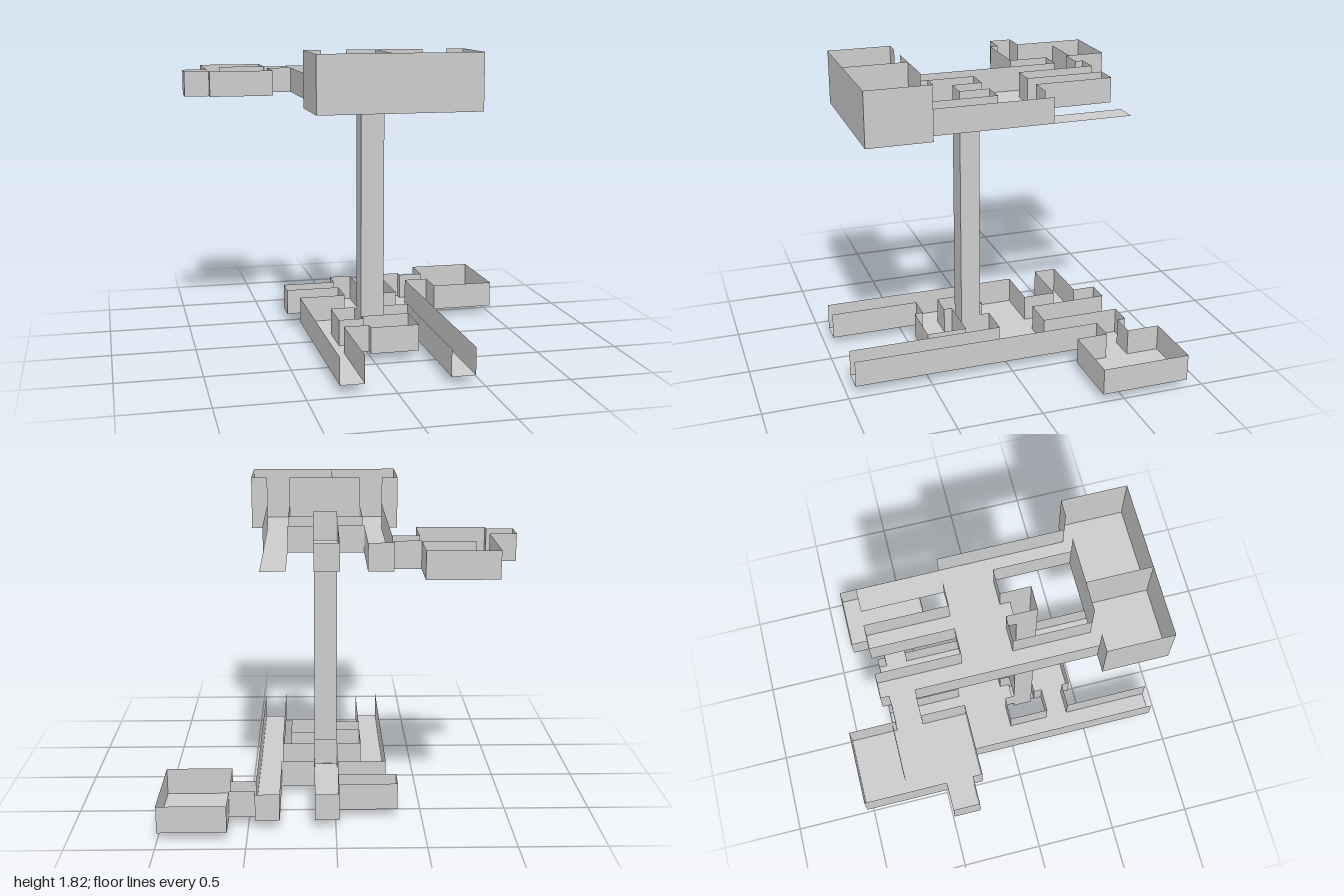
import * as THREE from 'three';
import { mergeGeometries } from 'three/addons/utils/BufferGeometryUtils.js';

const material = new THREE.MeshStandardMaterial({ color: 0xcccccc, flatShading: true, side: THREE.DoubleSide });

// Horizontal sheet at height y
function sheet(x0, x1, z0, z1, y) {
  return new THREE.PlaneGeometry(x1 - x0, z1 - z0).rotateX(-Math.PI / 2)
    .translate((x0 + x1) / 2, y, (z0 + z1) / 2);
}

// Upright sheet between two ground points
function wall(xa, za, xb, zb, y0, y1) {
  return new THREE.PlaneGeometry(Math.hypot(xb - xa, zb - za), y1 - y0)
    .rotateY(-Math.atan2(zb - za, xb - xa))
    .translate((xa + xb) / 2, (y0 + y1) / 2, (za + zb) / 2);
}

function addMesh(group, name, geometries) {
  const mesh = new THREE.Mesh(mergeGeometries(geometries), material);
  mesh.name = name;
  group.add(mesh);
}

// Floor plan made of [x0, x1, z0, z1] areas: floors everywhere, walls round the outline.
// Outline pieces whose middle lies in an opening box stay without a wall.
function storey(name, areas, openings, y0, y1) {
  const sorted = (i) => [...new Set(areas.flatMap((a) => [a[i], a[i + 1]]))].sort((a, b) => a - b);
  const xs = sorted(0), zs = sorted(2);
  const inBox = (x, z, e) => ([x0, x1, z0, z1]) => x > x0 - e && x < x1 + e && z > z0 - e && z < z1 + e;
  const inside = (i, j) => {
    if (i < 0 || j < 0 || i >= xs.length - 1 || j >= zs.length - 1) return false;
    return areas.some(inBox((xs[i] + xs[i + 1]) / 2, (zs[j] + zs[j + 1]) / 2, 0));
  };
  const floors = [], walls = [];
  const edge = (xa, za, xb, zb) => {
    if (!openings.some(inBox((xa + xb) / 2, (za + zb) / 2, 0.001))) walls.push(wall(xa, za, xb, zb, y0, y1));
  };
  for (let i = 0; i < xs.length - 1; i++) {
    for (let j = 0; j < zs.length - 1; j++) {
      if (!inside(i, j)) continue;
      const [x0, x1, z0, z1] = [xs[i], xs[i + 1], zs[j], zs[j + 1]];
      floors.push(sheet(x0, x1, z0, z1, y0));
      if (!inside(i - 1, j)) edge(x0, z0, x0, z1);
      if (!inside(i + 1, j)) edge(x1, z0, x1, z1);
      if (!inside(i, j - 1)) edge(x0, z0, x1, z0);
      if (!inside(i, j + 1)) edge(x0, z1, x1, z1);
    }
  }
  const group = new THREE.Group();
  group.name = name;
  addMesh(group, name + 'Floor', floors);
  addMesh(group, name + 'Walls', walls);
  return group;
}

export function createModel() {
  const model = new THREE.Group();
  model.name = 'twoStoreyCorridors';
  const low = 0.05, lowTop = 0.21, high = 1.5, highTop = 1.655;

  // Lower storey
  model.add(storey('lowerStorey', [
    [0.32, 0.46, -0.75, 0.95],    // long left corridor
    [-0.31, -0.17, -0.27, 0.95],  // long right corridor
    [-0.31, 0.46, -0.27, 0.02],   // central hall
    [-0.02, 0.12, -0.75, -0.27],  // middle corridor
    [-0.36, -0.02, -0.61, -0.47], // side corridor
    [0.46, 0.61, -0.7, -0.56],    // link to the side room
    [0.61, 1, -0.9, -0.37],       // side room
    [-0.17, -0.02, 0.27, 0.41],   // link to the small room
    [-0.02, 0.27, 0.22, 0.46],    // small room
    [-0.02, 0.12, 0.02, 0.08],    // shaft threshold
  ], [
    [0.32, 0.46, 0.95, 0.95],
    [-0.31, -0.17, 0.95, 0.95],
    [-0.02, 0.12, 0.08, 0.08],
  ], low, lowTop));

  // Upper storey
  const upper = storey('upperStorey', [
    [0.27, 0.41, -0.75, 0.47],    // left corridor, bare floor at its back
    [-0.31, -0.17, -0.75, 0.47],  // right corridor
    [-0.31, 0.41, -0.27, 0.02],   // central hall
    [-0.02, 0.12, -0.75, -0.27],  // middle corridor
    [-0.46, -0.31, -0.7, -0.56],  // link to the side room
    [-0.85, -0.46, -0.95, -0.32], // side room
    [-1, -0.85, -0.51, -0.37],    // annex
    [-0.02, 0.12, 0.02, 0.08],    // shaft threshold
  ], [
    [0.27, 0.41, -0.75, -0.27],
    [0.27, 0.41, 0.47, 0.47],
    [-0.31, -0.17, 0.47, 0.47],
    [-0.02, 0.12, 0.08, 0.08],
  ], high, highTop);
  addMesh(upper, 'sideRoomPartition', [wall(-0.75, -0.72, -0.46, -0.72, high, highTop)]);
  model.add(upper);

  // Tall front room with a partition and two doorways in its back wall
  const hallTop = 1.82, x0 = -0.41, x1 = 0.51, z0 = 0.47, z1 = 0.85;
  const hall = new THREE.Group();
  hall.name = 'frontRoom';
  addMesh(hall, 'frontRoomFloor', [sheet(x0, x1, z0, z1, high)]);
  addMesh(hall, 'frontRoomWalls', [
    [x0, z1, x1, z1], [x0, z0, x0, z1], [x1, z0, x1, z1], [0, z0, 0, z1],
    [x0, z0, -0.31, z0], [-0.17, z0, 0.27, z0], [0.41, z0, x1, z0],
  ].map((w) => wall(...w, high, hallTop)));
  model.add(hall);

  // Lift shaft between the storeys, open to each threshold at its back
  addMesh(model, 'liftShaft', [
    wall(-0.02, 0.2, 0.12, 0.2, 0, highTop),
    wall(-0.02, 0.08, -0.02, 0.2, 0, highTop),
    wall(0.12, 0.08, 0.12, 0.2, 0, highTop),
    wall(-0.02, 0.08, 0.12, 0.08, 0, low),
    wall(-0.02, 0.08, 0.12, 0.08, lowTop, high),
    sheet(-0.02, 0.12, 0.08, 0.2, 0),
  ]);
  return model;
}
